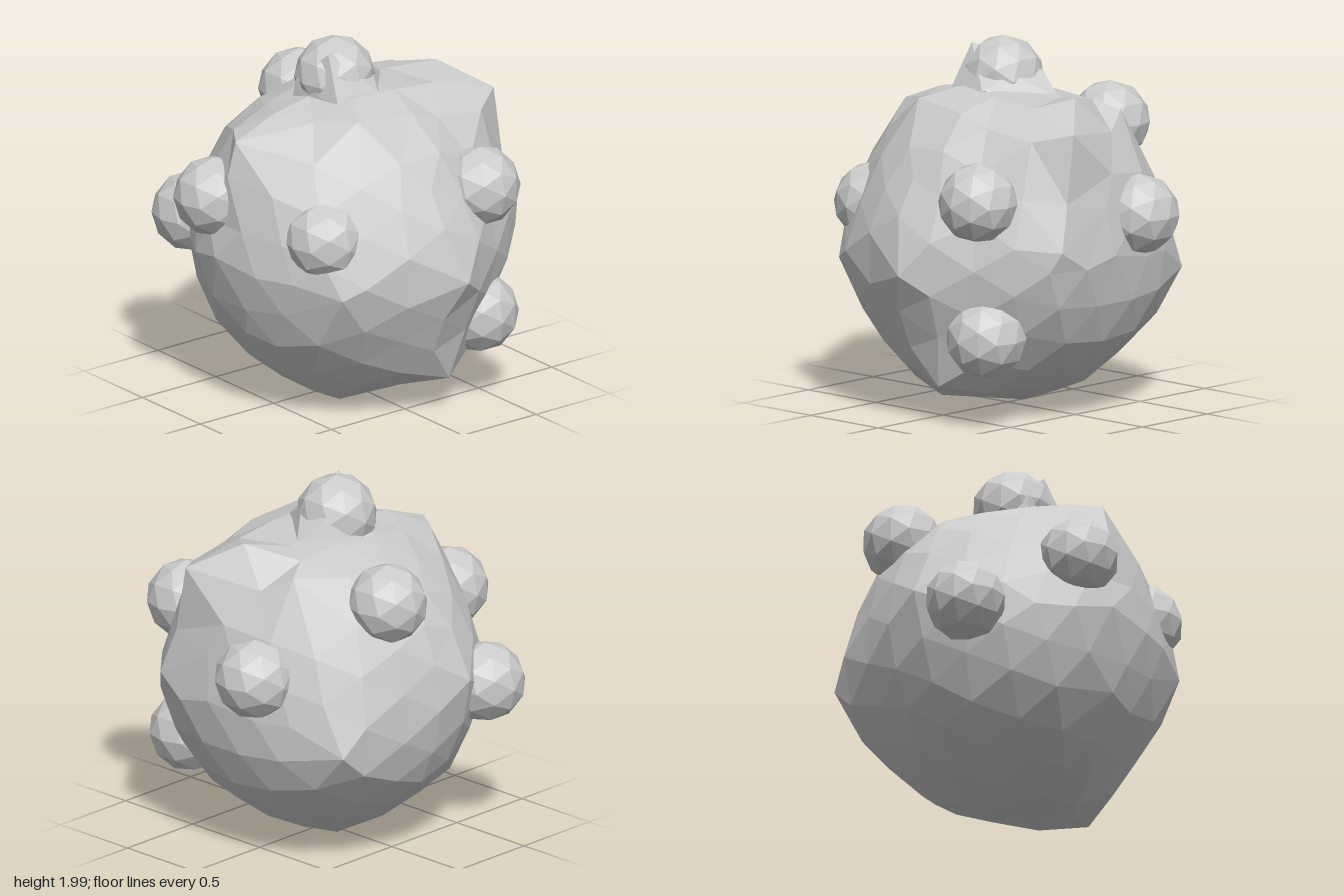
import * as THREE from 'three';
import { mergeVertices } from 'three/addons/utils/BufferGeometryUtils.js';
import { ConvexGeometry } from 'three/addons/geometries/ConvexGeometry.js';

const material = new THREE.MeshStandardMaterial({ color: 0xcccccc, flatShading: true });
const CENTER = new THREE.Vector3(0, 0.88, 0);
const toPoints = (list) => list.map((p) => new THREE.Vector3(...p));

// Corners that stick out of (or dip into) the rough ball
const CORNERS = toPoints([
  [0.09, 0.84, 0.94], [0.15, 0.21, 0.69], [-0.58, 0.82, 0.7], // front
  [-0.76, 1.57, 0], [-0.88, 0.93, -0.03], [-0.75, 0.5, 0.08], // right flank
  [0.56, 1.75, 0.06], [0.77, 1.61, 0.29], [0.81, 1.18, 0.08], // left shoulder
  [0.78, 1.24, 0.35], [0.82, 0.99, 0.43], [0.85, 0.93, 0.05],
  [0.55, 1.64, -0.3], [0.72, 1.32, -0.29], [0.33, 1.71, -0.08],
  [0.6, 0.73, -0.72], [-0.22, 1.0, -0.87], // back
  [0.01, 0.01, -0.11], [-0.25, 0.05, 0.25], // underside
  [-0.26, 1.69, 0.42], [0.09, 1.66, 0.45], // upper front
]);

// Faceted ball: the nearest vertex is pulled to each corner, its neighbours bulge along
function createBody() {
  let geometry = new THREE.IcosahedronGeometry(1, 3);
  geometry.deleteAttribute('normal');
  geometry.deleteAttribute('uv');
  geometry = mergeVertices(geometry, 1e-3);
  const pos = geometry.attributes.position;
  const directions = Array.from({ length: pos.count }, (_, i) =>
    new THREE.Vector3().fromBufferAttribute(pos, i).normalize());
  const targets = CORNERS.map((c) => c.clone().sub(CENTER));

  directions.forEach((d, i) => {
    const base = 0.847 + 0.018 * d.y;
    let bulge = 0;
    for (const t of targets) {
      const excess = Math.max(0, t.length() - base);
      bulge = Math.max(bulge, 0.8 * excess * Math.exp(-((d.angleTo(t) / 0.32) ** 2)));
    }
    const r = base + bulge + 0.01 * Math.sin(i * 12.9898);
    pos.setXYZ(i, d.x * r, d.y * r, d.z * r);
  });

  const used = new Set();
  for (const t of targets) {
    let best = -1;
    directions.forEach((d, i) => {
      if (!used.has(i) && (best < 0 || d.dot(t) > directions[best].dot(t))) best = i;
    });
    used.add(best);
    pos.setXYZ(best, t.x, t.y, t.z);
  }
  geometry = geometry.toNonIndexed();
  geometry.computeVertexNormals();
  const body = new THREE.Mesh(geometry, material);
  body.name = 'body';
  body.position.copy(CENTER);
  return body;
}

// Angular collar with a raised tip beside the top knob
function createCollar() {
  const points = toPoints([
    [-0.23, 1.69, 0.22], [0.03, 1.74, 0.23], [-0.19, 1.96, 0.08], [-0.27, 1.78, -0.1],
    [0.14, 1.82, -0.13], [0.1, 1.82, 0.08], [0.3, 1.7, -0.08], [-0.28, 1.66, -0.12],
    [0, 1.68, -0.26],
  ]);
  const collar = new THREE.Mesh(new ConvexGeometry(points), material);
  collar.name = 'collar';
  return collar;
}

// Small faceted balls set into the surface
const KNOBS = {
  topKnob: [-0.06, 1.78, -0.03],
  frontUpperKnob: [0.4, 1.24, 0.64],
  frontLowerKnob: [0.42, 0.5, 0.6],
  frontRightKnob: [-0.53, 1.1, 0.48],
  rightKnob: [-0.765, 1.21, -0.18],
  leftKnob: [0.765, 1.11, -0.22],
  backRightKnob: [-0.48, 0.89, -0.73],
  backUpperKnob: [0.16, 1.48, -0.62],
};

export function createModel() {
  const model = new THREE.Group();
  model.name = 'knobblyBall';
  model.add(createBody(), createCollar());
  const knobGeometry = new THREE.IcosahedronGeometry(0.22, 1);
  for (const [name, position] of Object.entries(KNOBS)) {
    const knob = new THREE.Mesh(knobGeometry, material);
    knob.name = name;
    knob.position.set(...position);
    model.add(knob);
  }
  return model;
}
